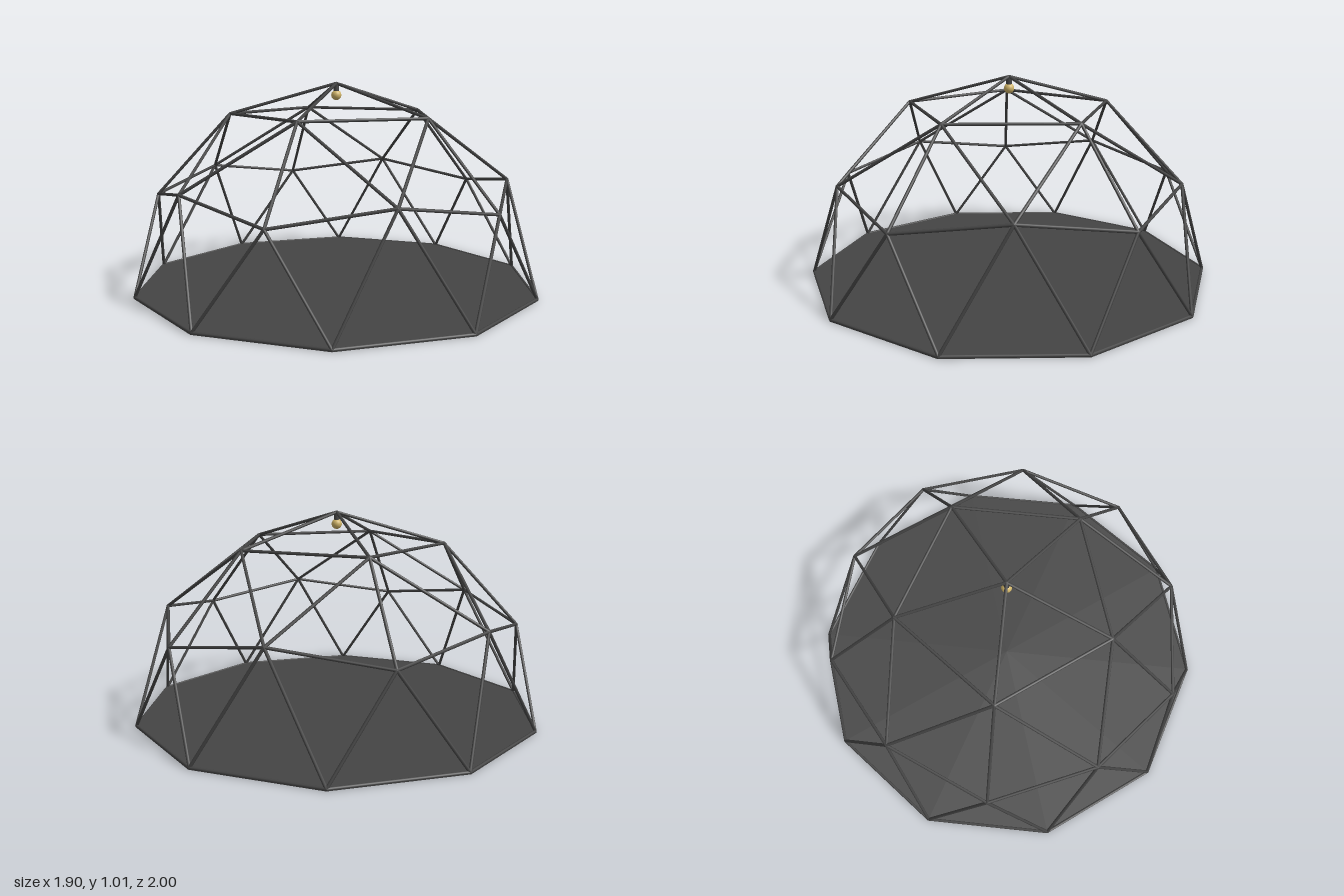
import * as THREE from 'three';

const R = 0.992, BASE_Y = 0.008, STRUT_R = 0.0075;

// Ring of dome joints at unit height h, starting at angle a (degrees)
function ring(count, h, a) {
  const r = Math.sqrt(1 - h * h);
  return Array.from({ length: count }, (_, i) => {
    const t = THREE.MathUtils.degToRad(a + i * 360 / count);
    return new THREE.Vector3(r * Math.cos(t) * R, h * R + BASE_Y, r * Math.sin(t) * R);
  });
}

export function createModel() {
  const model = new THREE.Group();
  const frameMat = new THREE.MeshStandardMaterial({ color: 0x444444 });
  const floorMat = new THREE.MeshStandardMaterial({ color: 0x444444, flatShading: true });
  const bulbMat = new THREE.MeshStandardMaterial({ color: 0xd0b468 });

  function add(parent, name, geometry, material, y = 0) {
    const mesh = new THREE.Mesh(geometry, material);
    mesh.name = name;
    mesh.position.y = y;
    parent.add(mesh);
    return mesh;
  }

  // Joints of a two-frequency geodesic hemisphere
  const joints = [
    new THREE.Vector3(0, R + BASE_Y, 0),
    ...ring(5, 0.8507, 0),
    ...ring(5, 0.5257, 36),
    ...ring(5, 0.4472, 0),
    ...ring(10, 0, 18),
  ];

  // Struts join every pair of neighbouring joints
  const frame = new THREE.Group();
  frame.name = 'domeFrame';
  model.add(frame);
  const up = new THREE.Vector3(0, 1, 0);
  joints.forEach((a, i) => {
    joints.slice(i + 1).forEach((b) => {
      const dir = b.clone().sub(a), length = dir.length();
      if (length > 0.65) return;
      const strut = add(frame, 'strut', new THREE.CylinderGeometry(STRUT_R, STRUT_R, length, 8), frameMat);
      strut.position.copy(a).add(b).multiplyScalar(0.5);
      strut.quaternion.setFromUnitVectors(up, dir.normalize());
    });
    add(frame, 'joint', new THREE.SphereGeometry(STRUT_R, 8, 6), frameMat).position.copy(a);
  });

  // Ten-sided floor
  add(model, 'floor', new THREE.CylinderGeometry(0.998, 0.998, 0.01, 10), floorMat, 0.006);

  // Lamp hanging from the apex
  const lamp = new THREE.Group();
  lamp.name = 'lamp';
  model.add(lamp);
  add(lamp, 'lampSocket', new THREE.CylinderGeometry(0.014, 0.014, 0.035, 16), frameMat, 0.98);
  add(lamp, 'lampBulb', new THREE.SphereGeometry(0.025, 20, 14), bulbMat, 0.943);

  return model;
}
